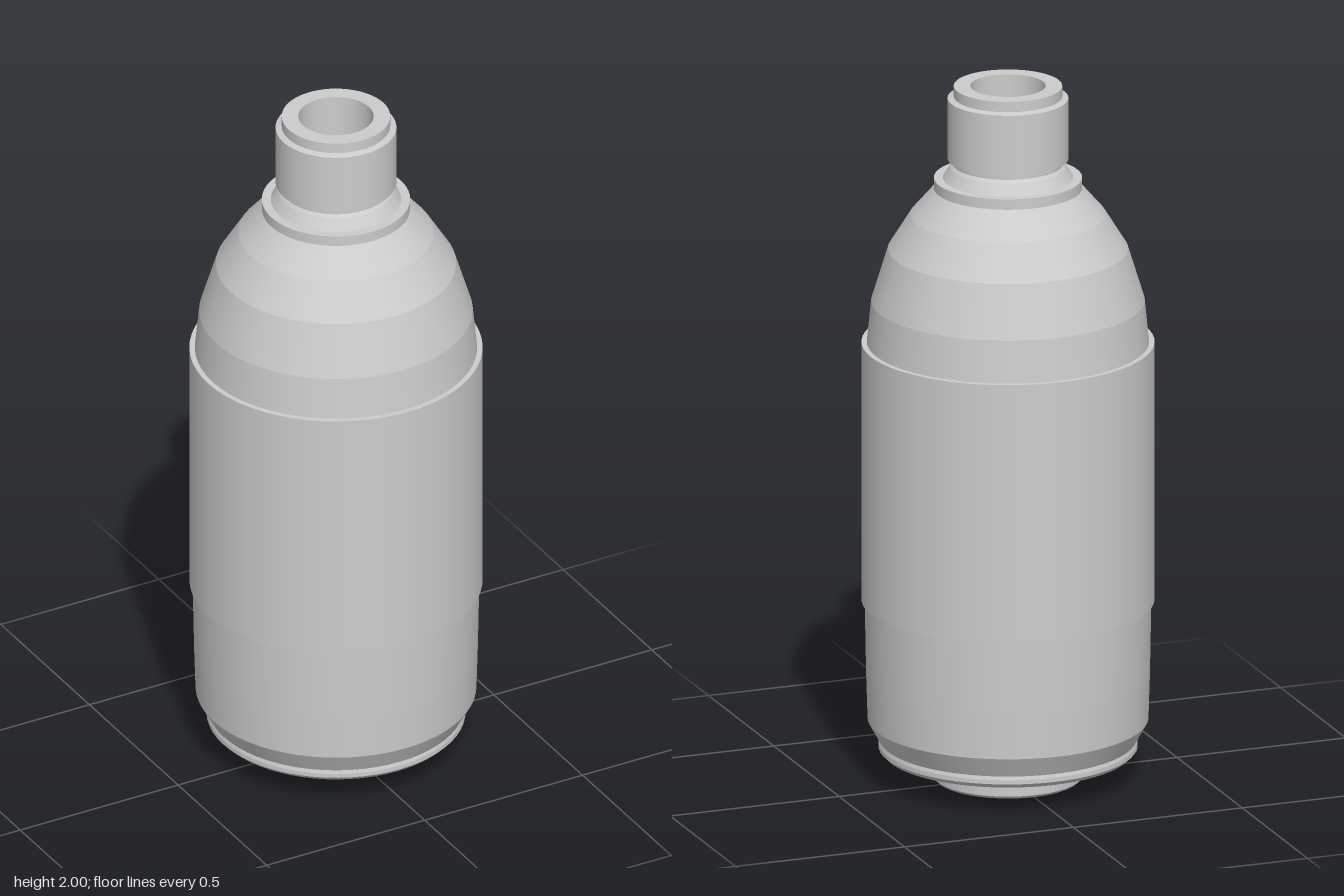
import * as THREE from 'three';
import { mergeGeometries } from 'three/addons/utils/BufferGeometryUtils.js';

const SIDES = 64;

// Revolves a profile of [radius, y], smooth around the axis and creased between bands.
function turned(name, profile, material) {
  const bands = [];
  for (let i = 0; i < profile.length - 1; i++) {
    const pair = [profile[i], profile[i + 1]].map(([r, y]) => new THREE.Vector2(r, y));
    bands.push(new THREE.LatheGeometry(pair, SIDES));
  }
  const mesh = new THREE.Mesh(mergeGeometries(bands), material);
  mesh.name = name;
  return mesh;
}

export function createModel() {
  const group = new THREE.Group();
  group.name = 'bottle';
  const grey = new THREE.MeshStandardMaterial({ color: 0xcccccc, side: THREE.DoubleSide });
  grey.name = 'light grey';

  group.add(
    // Round foot under the base
    turned('foot', [[0, 0], [0.2, 0], [0.208, 0.008], [0.208, 0.04]], grey),
    // Sloping underside, bottom rim and lower wall
    turned('base', [
      [0.208, 0.04], [0.345, 0.077], [0.358, 0.09], [0.358, 0.102],
      [0.355, 0.112], [0.388, 0.172], [0.392, 0.3], [0.396, 0.515],
    ], grey),
    // Sleeve standing slightly proud of the body
    turned('sleeve', [[0.396, 0.515], [0.405, 0.515], [0.405, 1.26], [0.39, 1.26]], grey),
    // Faceted dome up to the collar
    turned('shoulder', [[0.39, 1.26], [0.378, 1.38], [0.332, 1.53], [0.27, 1.63], [0.205, 1.705]], grey),
    // Flange and the neck tapering above it
    turned('collar', [
      [0.19, 1.705], [0.205, 1.705], [0.205, 1.735], [0.18, 1.735],
      [0.16, 1.767], [0.152, 1.775], [0.152, 1.79],
    ], grey),
    // Nozzle with a stepped bore
    turned('nozzle', [
      [0.152, 1.79], [0.167, 1.79], [0.167, 1.965], [0.15, 1.97], [0.15, 2],
      [0.104, 2], [0.104, 1.76], [0.052, 1.76], [0.052, 1.7], [0, 1.7],
    ], grey),
  );
  return group;
}
